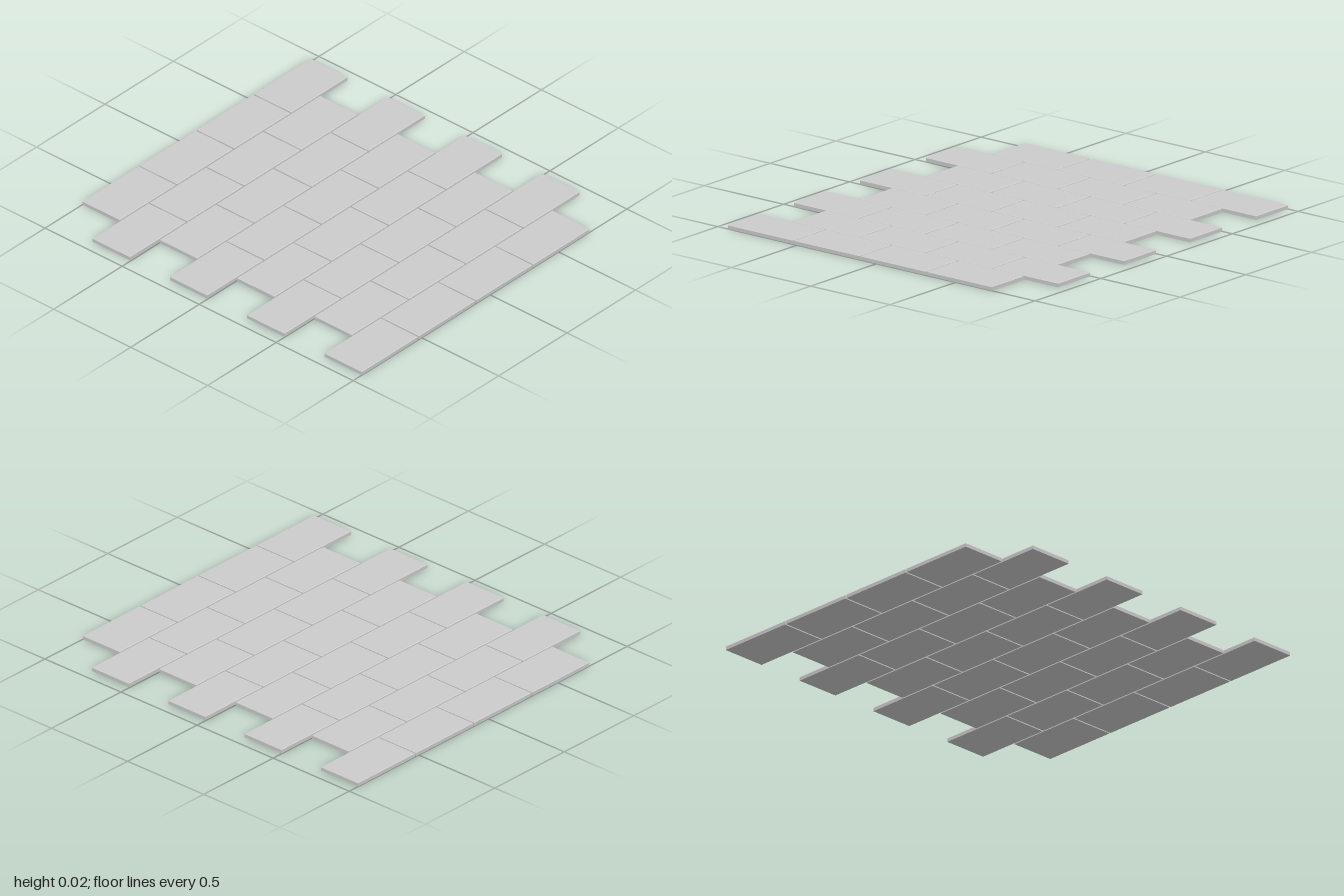
import * as THREE from 'three';

const ROWS = 8, COLUMNS = 4;
const WIDTH = 0.41, DEPTH = 0.243, HEIGHT = 0.022, CHAMFER = 0.004;
const PITCH_X = 0.418, PITCH_Z = 0.251;

// Flat slab standing on y = 0 with a small chamfer around its top edge
function slabGeometry() {
  const geometry = new THREE.BoxGeometry(WIDTH, HEIGHT, DEPTH, 1, 2, 1);
  geometry.translate(0, HEIGHT / 2, 0);
  const p = geometry.attributes.position;
  for (let i = 0; i < p.count; i++) {
    const y = p.getY(i);
    if (y > HEIGHT * 0.75) {
      p.setX(i, p.getX(i) - Math.sign(p.getX(i)) * CHAMFER);
      p.setZ(i, p.getZ(i) - Math.sign(p.getZ(i)) * CHAMFER);
    } else if (y > HEIGHT * 0.25) {
      p.setY(i, HEIGHT - CHAMFER);
    }
  }
  const flat = geometry.toNonIndexed();
  flat.computeVertexNormals();
  return flat;
}

export function createModel() {
  const model = new THREE.Group();
  model.name = 'pavingSlabs';
  const material = new THREE.MeshStandardMaterial({ color: 0xcccccc, flatShading: true });
  const geometry = slabGeometry();

  // Running bond: every other row is shifted by half a slab, back row to +x
  for (let r = 0; r < ROWS; r++) {
    const row = new THREE.Group();
    row.name = `slabRow${r + 1}`;
    const shift = (r % 2 === 0 ? 1 : -1) * PITCH_X / 4;
    row.position.set(shift, 0, (r - (ROWS - 1) / 2) * PITCH_Z);
    for (let c = 0; c < COLUMNS; c++) {
      const slab = new THREE.Mesh(geometry, material);
      slab.name = 'slab';
      slab.position.x = (c - (COLUMNS - 1) / 2) * PITCH_X;
      row.add(slab);
    }
    model.add(row);
  }
  return model;
}
